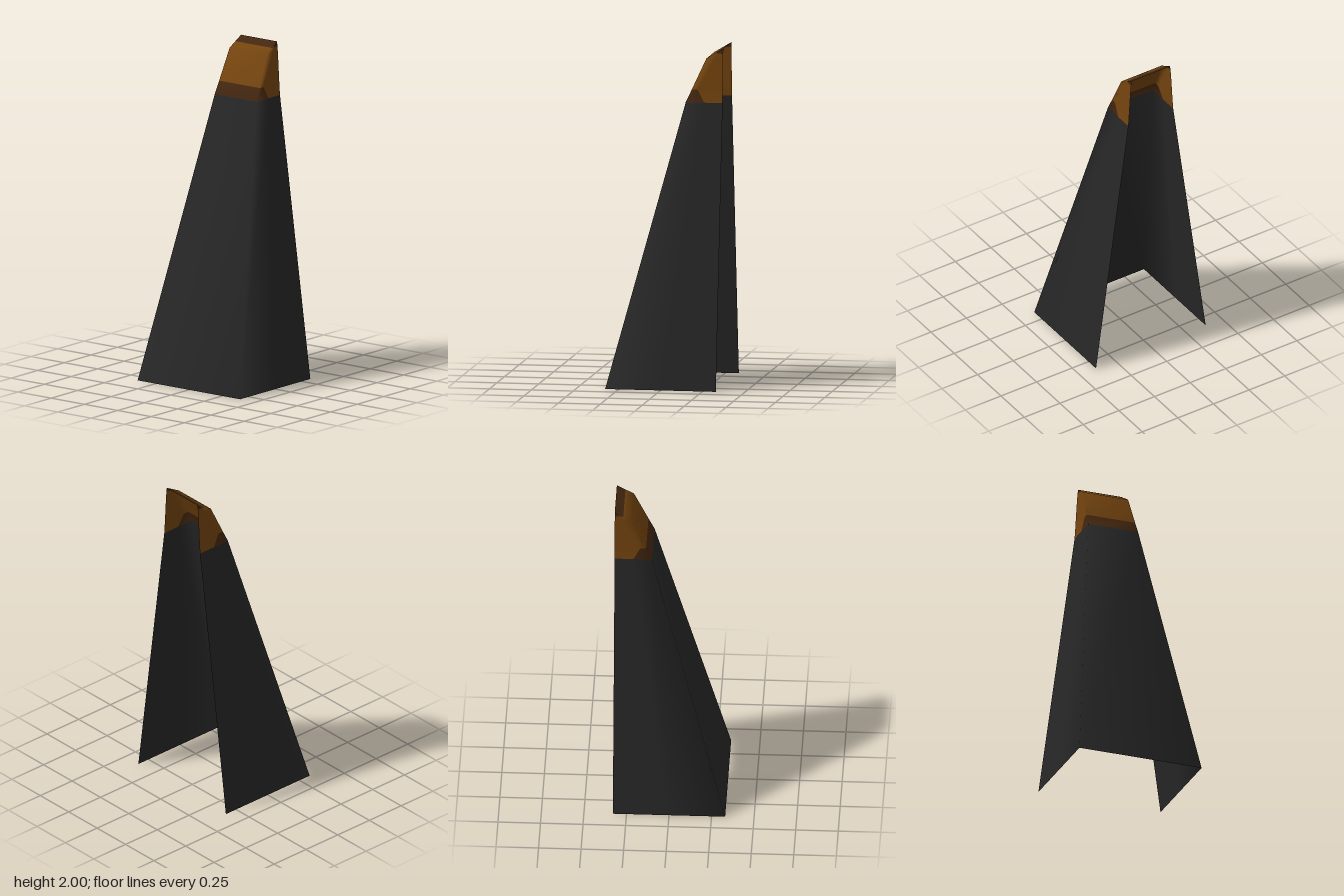
import * as THREE from 'three';

// Open-backed tapering horn: each row is a U-shaped cross-section.
const BACK = -0.33;
const ROWS = [
  // y, half width, side split z, front z
  [0, 0.385, 0.0, 0.33],
  [1.68, 0.157, -0.22, -0.11],
  [1.755, 0.152, -0.18, -0.145],
  [1.94, 0.141, -0.28, -0.23],
  [1.97, 0.138, -0.305, -0.28],
  [2, 0.135, BACK, BACK],
];

export function createModel() {
  const mat = (name, color) =>
    new THREE.MeshStandardMaterial({ name, color, side: THREE.DoubleSide });
  const black = mat('charcoal black', 0x272727);
  const brown = mat('amber brown', 0x74440f);
  const dark = mat('dark brown', 0x442710);

  // Six points per row: right side, across the front, left side
  const pos = [];
  for (const [y, w, mid, front] of ROWS) {
    pos.push(-w, y, BACK, -w, y, mid, -w, y, front);
    pos.push(w, y, front, w, y, mid, w, y, BACK);
  }

  // Quads sorted by colour: shaft, tip, and the dark band and ridge
  const shaft = [], tip = [], trim = [];
  for (let r = 0; r < ROWS.length - 1; r++) {
    for (let c = 0; c < 5; c++) {
      const a = r * 6 + c, b = a + 1, d = a + 6, e = a + 7;
      const banded = r === 4 || (r === 1 && c > 0 && c < 4);
      const list = r === 0 ? shaft : banded ? trim : tip;
      list.push(a, b, e, a, e, d);
    }
  }

  // One shared set of smooth normals keeps the shell continuous
  const shell = new THREE.BufferGeometry();
  shell.setAttribute('position', new THREE.Float32BufferAttribute(pos, 3));
  shell.setIndex([...shaft, ...tip, ...trim]);
  shell.computeVertexNormals();

  const group = new THREE.Group();
  group.name = 'hollowHorn';
  const add = (name, index, material) => {
    const geo = new THREE.BufferGeometry();
    geo.setAttribute('position', shell.attributes.position);
    geo.setAttribute('normal', shell.attributes.normal);
    geo.setIndex(index);
    const mesh = new THREE.Mesh(geo, material);
    mesh.name = name;
    group.add(mesh);
  };
  add('shaftShell', shaft, black);
  add('tipShell', tip, brown);
  add('tipTrim', trim, dark);
  return group;
}
